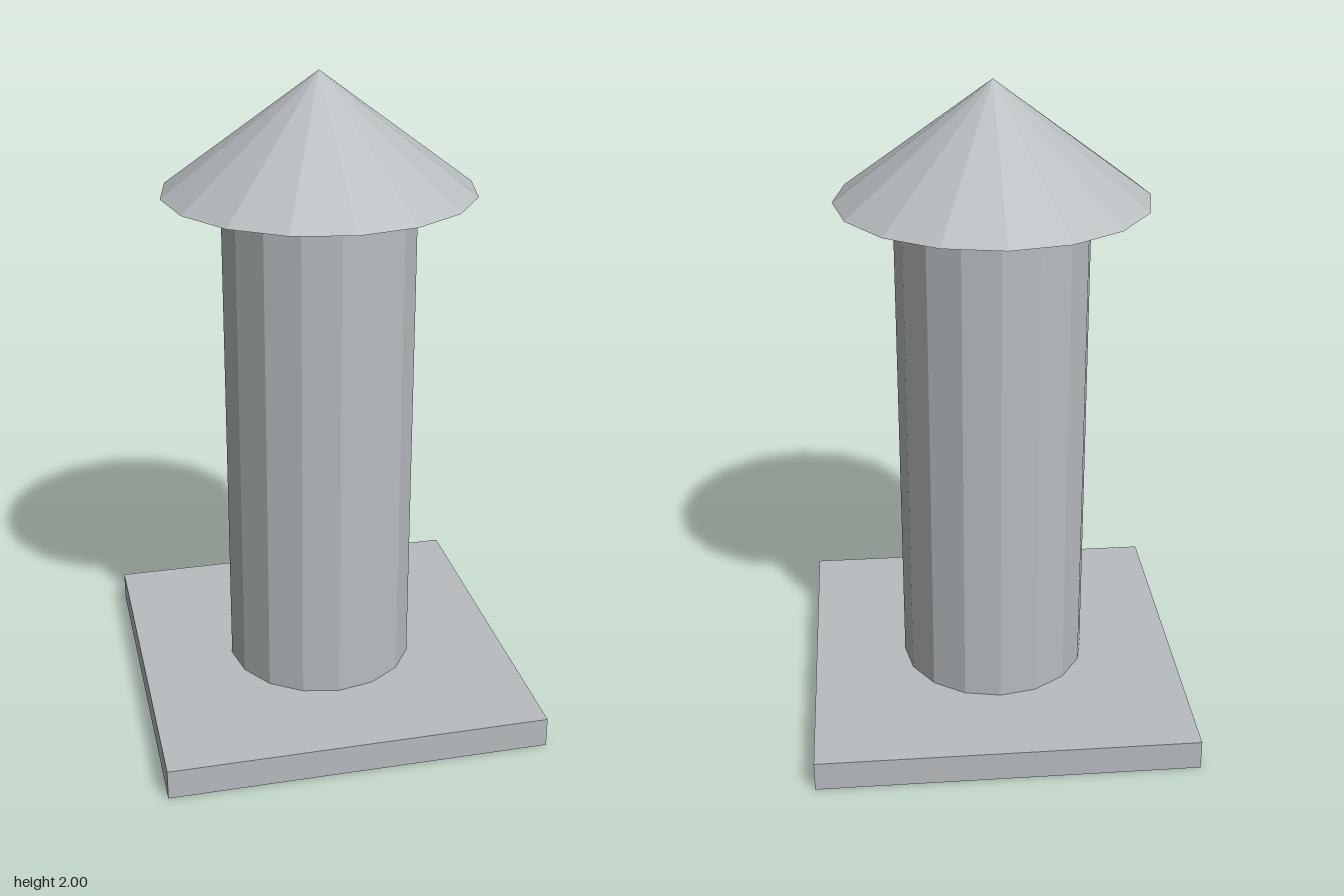
import * as THREE from 'three';

export function createModel() {
  const model = new THREE.Group();
  const metal = new THREE.MeshStandardMaterial({ color: 0xb8bdc0, flatShading: true });
  metal.name = 'galvanised grey';

  const sides = 16;
  const plateTop = 0.094;
  const capBase = 1.647;
  const top = 2;

  // Adds a named part standing between two heights
  const add = (name, geometry, y0, y1) => {
    const mesh = new THREE.Mesh(geometry, metal);
    mesh.name = name;
    mesh.position.y = (y0 + y1) / 2;
    model.add(mesh);
  };

  // Square mounting plate
  add('basePlate', new THREE.BoxGeometry(1.176, plateTop, 1.176), 0, plateTop);
  // Faceted pipe
  add('pipe', new THREE.CylinderGeometry(0.294, 0.294, capBase - plateTop, sides), plateTop, capBase);
  // Conical rain cap
  add('rainCap', new THREE.ConeGeometry(0.47, top - capBase, sides), capBase, top);

  return model;
}
